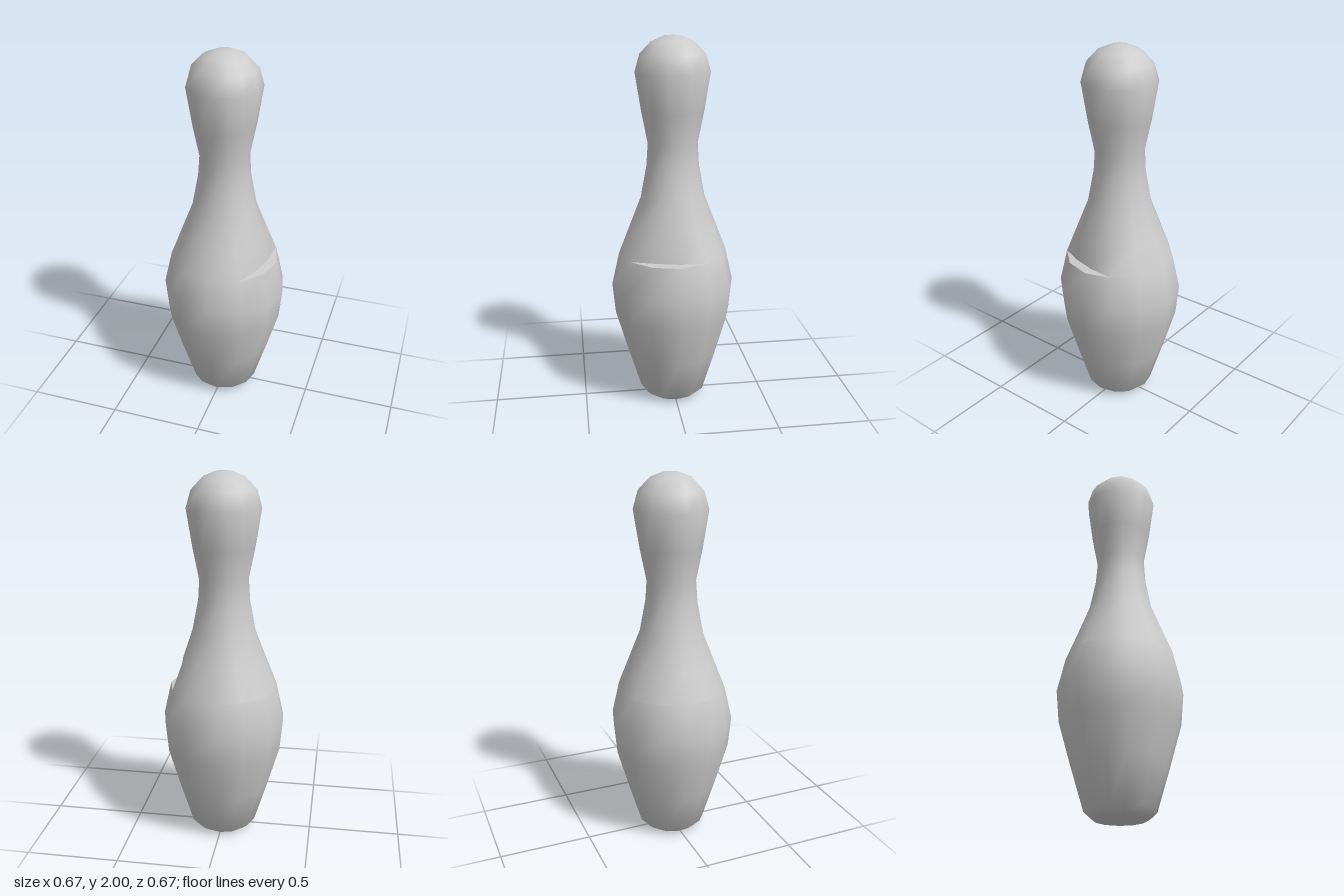
import * as THREE from 'three';
import { toCreasedNormals } from 'three/addons/utils/BufferGeometryUtils.js';

// Uneven ring angles in degrees, measured from +z towards +x
const BODY = [0, 32.5, 61.5, 90, 118.5, 147.5, 180, 207.5, 237, 264.5, 286.5, 309.5, 332];
const HEAD = [0, 22, 45, 75, 110, 142, 167, 192, 218, 252, 273, 297, 326];

// [height, radius, blend from body to head angles, depth of chip]
const PROFILE = [
  [0, 0.135, 0, 0], [0.01, 0.15, 0, 0], [0.04, 0.183, 0, 0],
  [0.27, 0.253, 0, 0], [0.5, 0.319, 0, 0], [0.67, 0.335, 0, 0],
  [0.85, 0.294, 0, 0], [0.855, 0.292, 0, 0.045], [1.0, 0.235, 0.1, 0.01],
  [1.16, 0.172, 0.2, 0], [1.33, 0.14, 0.4, 0], [1.45, 0.132, 0.6, 0],
  [1.62, 0.165, 0.8, 0], [1.82, 0.196, 1, 0], [1.91, 0.17, 1, 0],
  [1.97, 0.112, 1, 0], [1.998, 0.045, 1, 0],
];
const CHIPPED = [2, 3]; // columns where the shoulder is chipped

function loft() {
  const n = BODY.length, pos = [], index = [];
  for (const [y, r, blend, chip] of PROFILE) {
    for (let i = 0; i < n; i++) {
      const a = THREE.MathUtils.degToRad(THREE.MathUtils.lerp(BODY[i], HEAD[i], blend));
      const radius = r - (CHIPPED.includes(i) ? chip : 0);
      pos.push(radius * Math.sin(a), y, radius * Math.cos(a));
    }
  }
  const bottom = pos.length / 3, top = bottom + 1;
  pos.push(0, 0, 0, 0, 2, 0);
  const last = (PROFILE.length - 1) * n;
  for (let i = 0; i < n; i++) {
    const j = (i + 1) % n;
    for (let k = 0; k < last; k += n) {
      index.push(k + i, k + j, k + n + j, k + i, k + n + j, k + n + i);
    }
    index.push(bottom, j, i, top, last + i, last + j);
  }
  const geometry = new THREE.BufferGeometry();
  geometry.setAttribute('position', new THREE.Float32BufferAttribute(pos, 3));
  geometry.setIndex(index);
  return toCreasedNormals(geometry, 1.0);
}

export function createModel() {
  const group = new THREE.Group();
  group.name = 'bowlingPin';
  // Single shell: foot, belly, neck and rounded head
  const pin = new THREE.Mesh(loft(), new THREE.MeshStandardMaterial({ color: 0xcccccc }));
  pin.name = 'pinBody';
  group.add(pin);
  return group;
}
